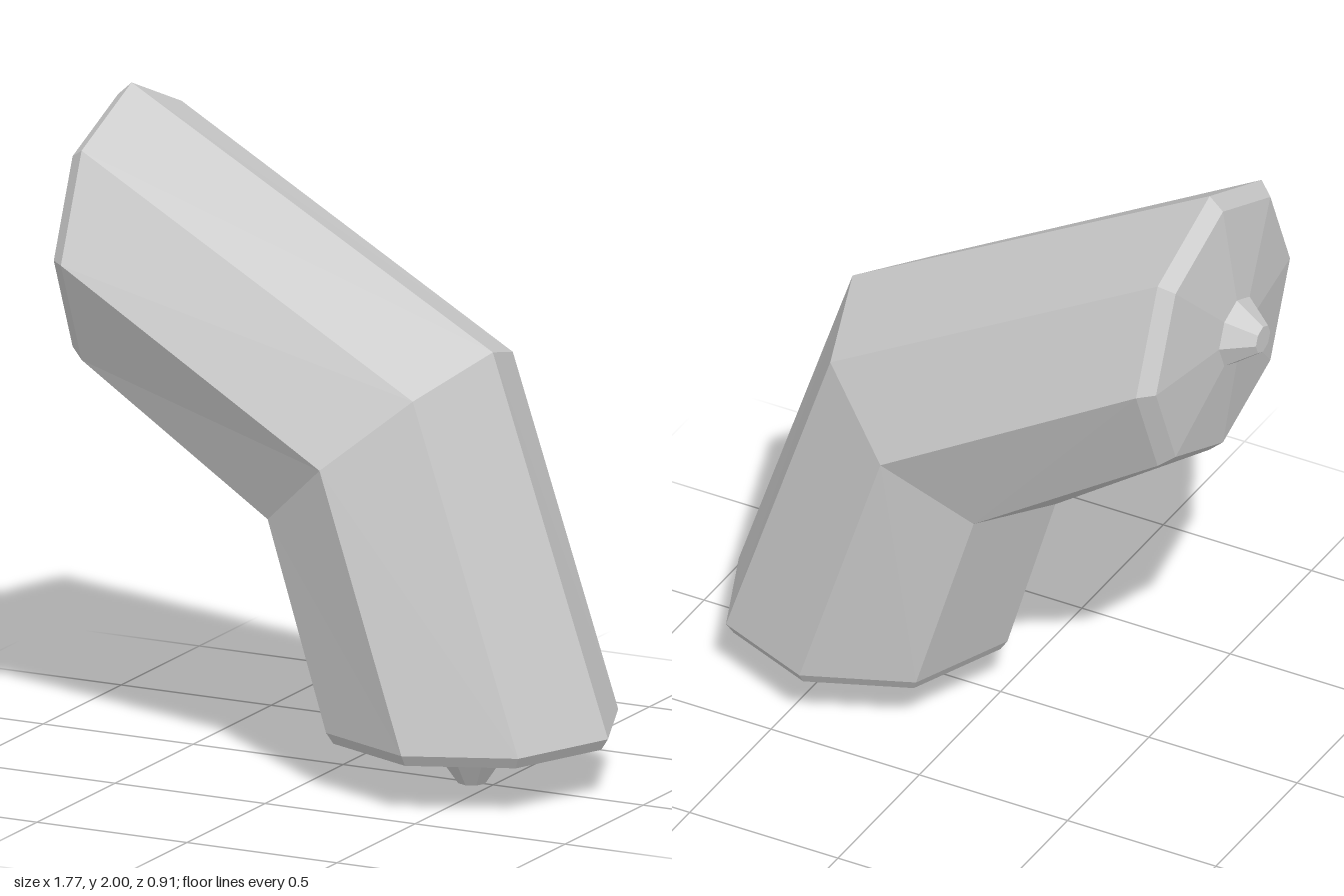
import * as THREE from 'three';

const SIDES = 8;

// A ring is centre (x, y), in-plane radius vector (ux, uy) and radius along z.
const flat = (y, r) => ({ x: 0.43, y, ux: r, uy: 0, rz: r });
const upright = (x, r) => ({ x, y: 1.548, ux: 0, uy: r, rz: r });

function ringPoint(ring, j) {
  const a = (j / SIDES) * Math.PI * 2;
  const c = Math.cos(a);
  return [ring.x + ring.ux * c, ring.y + ring.uy * c, ring.rz * Math.sin(a)];
}

// Skin a series of rings with faceted quads, optionally closing either end.
function loft(name, rings, capStart, capEnd) {
  const pos = [];
  const tri = (a, b, c) => pos.push(...a, ...b, ...c);
  for (let j = 0; j < SIDES; j++) {
    for (let i = 0; i < rings.length - 1; i++) {
      const a = ringPoint(rings[i], j), b = ringPoint(rings[i + 1], j);
      const c = ringPoint(rings[i + 1], j + 1), d = ringPoint(rings[i], j + 1);
      tri(a, b, c);
      tri(a, c, d);
    }
    const s = rings[0], e = rings[rings.length - 1];
    if (capStart) tri([s.x, s.y, 0], ringPoint(s, j), ringPoint(s, j + 1));
    if (capEnd) tri([e.x, e.y, 0], ringPoint(e, j + 1), ringPoint(e, j));
  }
  const geo = new THREE.BufferGeometry();
  geo.setAttribute('position', new THREE.Float32BufferAttribute(pos, 3));
  geo.computeVertexNormals();
  const mesh = new THREE.Mesh(geo, new THREE.MeshStandardMaterial({ color: 0xcccccc, flatShading: true }));
  mesh.name = name;
  return mesh;
}

export function createModel() {
  const group = new THREE.Group();
  group.name = 'bentSausage';

  // Ring sequence from the lower end, through the mitred bend, to the upper end
  const lowTip = flat(0, 0.043), lowNeck = flat(0.1, 0.113);
  const lowRim = flat(0.152, 0.43), lowEdge = flat(0.187, 0.453);
  const bend = { x: 0.157, y: 1.027, ux: 0.342, uy: 0.297, rz: 0.453 };
  const topEdge = upright(-0.705, 0.453), topRim = upright(-0.75, 0.412);
  const topNeck = upright(-0.797, 0.11), topTip = upright(-0.885, 0.044);

  group.add(
    loft('lowerKnot', [lowTip, lowNeck], true, false),
    loft('lowerEnd', [lowNeck, lowRim, lowEdge], false, false),
    loft('body', [lowEdge, bend, topEdge], false, false),
    loft('upperEnd', [topEdge, topRim, topNeck], false, false),
    loft('upperKnot', [topNeck, topTip], false, true),
  );
  return group;
}
